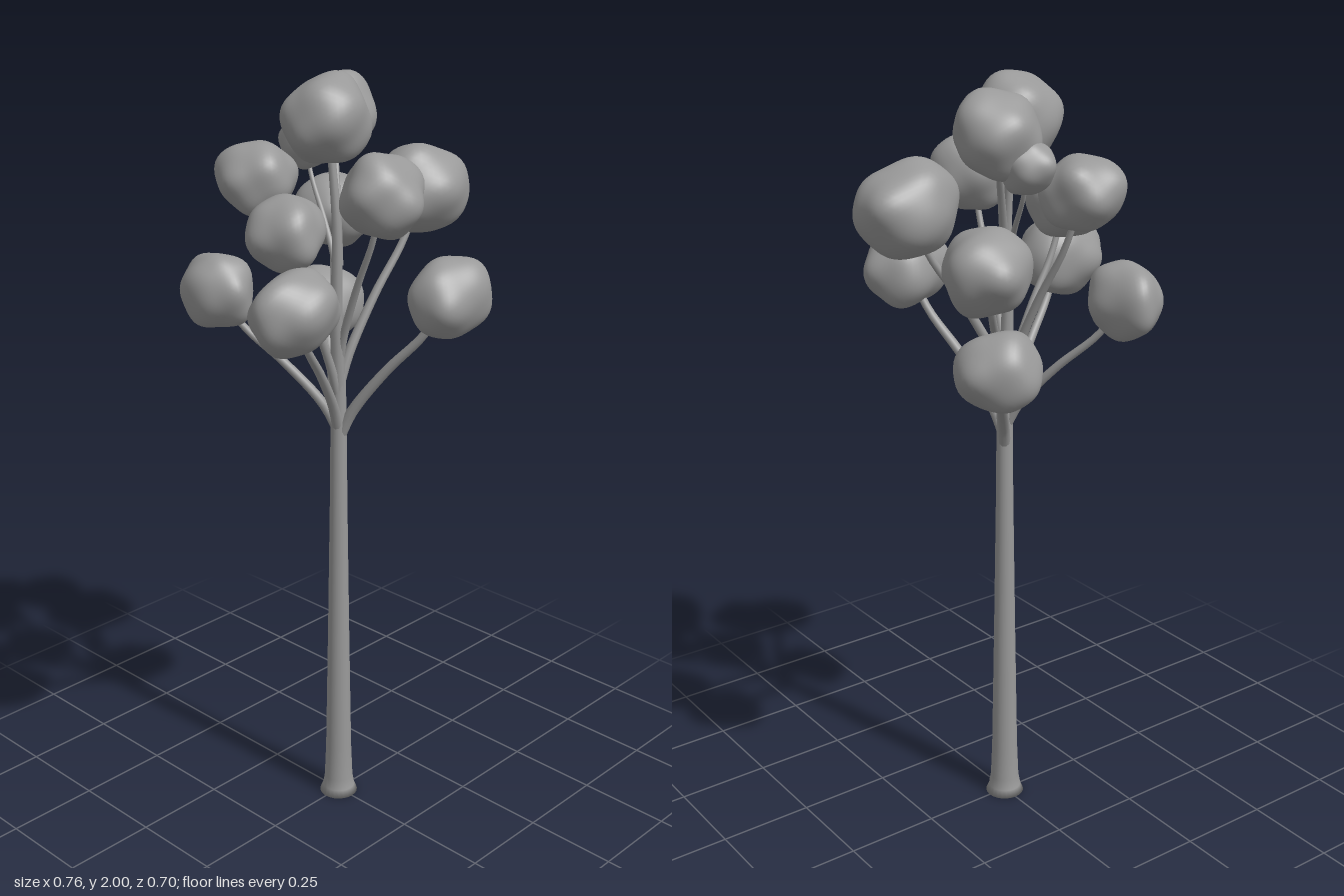
import * as THREE from 'three';
import { mergeVertices } from 'three/addons/utils/BufferGeometryUtils.js';

const grey = new THREE.MeshStandardMaterial({ color: 0x999999 });
grey.name = 'plain grey';

// Each clump: centre, full size, height where its branch leaves the trunk, branch base radius
const clumps = [
  { at: [-0.01, 1.89, -0.025], size: [0.24, 0.22, 0.21] },
  { at: [0.11, 1.875, -0.12], size: [0.21, 0.21, 0.2], from: 1.56, r: 0.012 },
  { at: [0.25, 1.69, 0.05], size: [0.265, 0.235, 0.225], from: 1.24, r: 0.014 },
  { at: [-0.022, 1.735, 0.165], size: [0.225, 0.21, 0.215], from: 1.3, r: 0.012 },
  { at: [0.118, 1.48, 0.26], size: [0.24, 0.2, 0.18], from: 1.1, r: 0.016 },
  { at: [-0.2, 1.65, 0.015], size: [0.2, 0.18, 0.21], from: 1.2, r: 0.013 },
  { at: [-0.257, 1.485, 0.11], size: [0.25, 0.21, 0.19], from: 1.12, r: 0.015 },
  { at: [-0.075, 1.73, -0.21], size: [0.21, 0.18, 0.2], from: 1.22, r: 0.013 },
  { at: [-0.185, 1.455, -0.245], size: [0.17, 0.195, 0.21], from: 1.12, r: 0.014 },
  { at: [0.225, 1.59, -0.24], size: [0.225, 0.205, 0.22], from: 1.16, r: 0.014 },
  { at: [0.195, 1.345, -0.24], size: [0.21, 0.2, 0.195], from: 1.07, r: 0.016 },
  { at: [0.065, 1.8, -0.18], size: [0.13, 0.13, 0.13], from: 1.5, r: 0.009 },
];

function seeded(seed) {
  let s = seed * 7919 + 17;
  return () => (s = (s * 16807) % 2147483647) / 2147483647;
}

// Rounded foliage clump made of soft overlapping bulges
function clumpGeometry(seed, size) {
  const rand = seeded(seed + 1);
  rand(); rand();
  const bulges = Array.from({ length: 13 }, (_, i) => {
    const y = 1 - (2 * (i + 0.5)) / 13;
    const a = i * 2.4 + seed + rand() * 0.7;
    const s = Math.sqrt(1 - y * y);
    return { dir: new THREE.Vector3(s * Math.cos(a), y, s * Math.sin(a)), h: 0.1 + rand() * 0.16 };
  });
  let geo = new THREE.IcosahedronGeometry(1, 9);
  geo.deleteAttribute('uv');
  geo.deleteAttribute('normal');
  geo = mergeVertices(geo);
  const p = geo.attributes.position;
  const v = new THREE.Vector3();
  for (let i = 0; i < p.count; i++) {
    v.fromBufferAttribute(p, i).normalize();
    let r = 0.85;
    for (const b of bulges) r += b.h * Math.exp((v.dot(b.dir) - 1) * 8);
    v.multiplyScalar(r);
    p.setXYZ(i, v.x, v.y, v.z);
  }
  geo.center();
  const full = geo.boundingBox.getSize(new THREE.Vector3());
  geo.scale(size[0] / full.x, size[1] / full.y, size[2] / full.z);
  geo.computeVertexNormals();
  return geo;
}

// Tube whose radius shrinks from r0 to r1 along the curve
function taperedTube(points, r0, r1, segments = 18, sides = 10) {
  const curve = new THREE.CatmullRomCurve3(points.map((q) => new THREE.Vector3(...q)));
  const geo = new THREE.TubeGeometry(curve, segments, 1, sides);
  const p = geo.attributes.position;
  const v = new THREE.Vector3();
  for (let i = 0; i < p.count; i++) {
    const t = Math.floor(i / (sides + 1)) / segments;
    const c = curve.getPointAt(t);
    v.fromBufferAttribute(p, i).sub(c).multiplyScalar(r0 + (r1 - r0) * t).add(c);
    p.setXYZ(i, v.x, v.y, v.z);
  }
  return geo;
}

export function createModel() {
  const tree = new THREE.Group();
  tree.name = 'tree';
  const add = (name, geo) => {
    const mesh = new THREE.Mesh(geo, grey);
    mesh.name = name;
    tree.add(mesh);
    return mesh;
  };

  // Trunk with flared foot
  const profile = [[0, 0], [0.052, 0], [0.044, 0.02], [0.039, 0.05], [0.035, 0.15], [0.029, 0.5],
    [0.023, 0.9], [0.021, 1.12], [0.018, 1.25]];
  add('trunk', new THREE.LatheGeometry(profile.map(([x, y]) => new THREE.Vector2(x, y)), 24));

  // Upper stem reaching the crown clump
  add('upperStem', taperedTube(
    [[0, 1.2, 0], [-0.012, 1.4, 0.004], [-0.012, 1.62, 0.006], [-0.01, 1.85, -0.02]], 0.019, 0.009));

  clumps.forEach(({ at: [x, y, z], size, from, r }, i) => {
    add('foliageClump', clumpGeometry(i, size)).position.set(x, y, z);
    if (!from) return;
    // Branch leaves the trunk steeply, sweeps out, then rises into its clump
    const rise = y - from;
    add('branch', taperedTube([
      [0, from - 0.03, 0],
      [x * 0.13, from + rise * 0.13, z * 0.13],
      [x * 0.45, from + rise * 0.45, z * 0.45],
      [x * 0.78, from + rise * 0.72, z * 0.78],
      [x, y, z],
    ], r, r * 0.55));
  });
  return tree;
}
